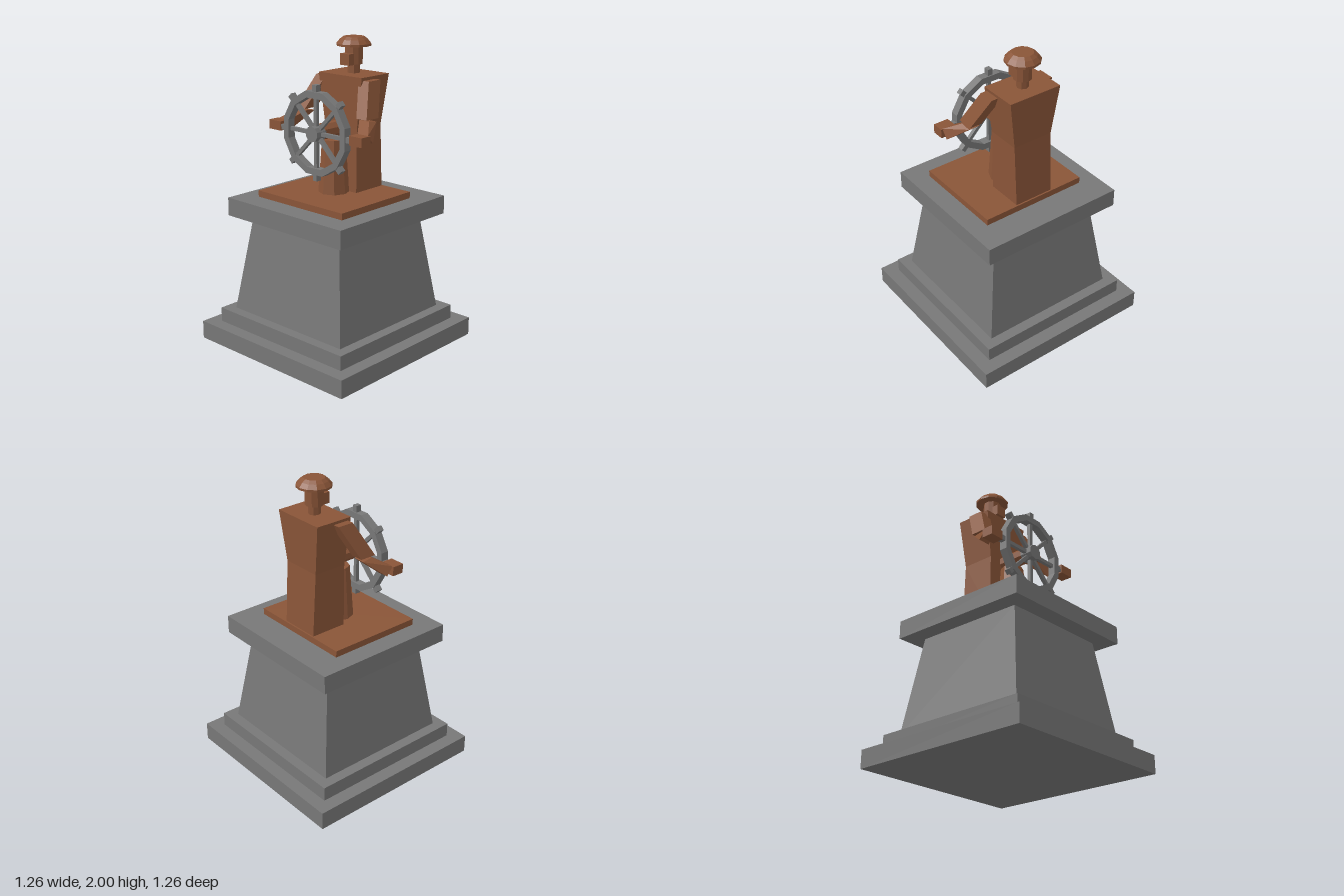
import * as THREE from 'three';
import { ConvexGeometry } from 'three/addons/geometries/ConvexGeometry.js';

const stone = new THREE.MeshStandardMaterial({ color: 0x777777 });
stone.name = 'grey stone';
const bronze = new THREE.MeshStandardMaterial({ color: 0x8a5538 });
bronze.name = 'brown bronze';

// Give every face its own normal for a faceted look
function faceted(geometry) {
  const g = geometry.index ? geometry.toNonIndexed() : geometry;
  g.computeVertexNormals();
  return g;
}

function add(parent, name, geometry, material, x = 0, y = 0, z = 0) {
  const mesh = new THREE.Mesh(faceted(geometry), material);
  mesh.name = name;
  mesh.position.set(x, y, z);
  parent.add(mesh);
  return mesh;
}

// Box given by its lower and upper limits
function block(parent, name, material, [x0, x1], [y0, y1], [z0, z1]) {
  return add(parent, name, new THREE.BoxGeometry(x1 - x0, y1 - y0, z1 - z0), material,
    (x0 + x1) / 2, (y0 + y1) / 2, (z0 + z1) / 2);
}

// Horizontal rectangle of corners at height y
function rect(y, x0, x1, z0, z1) {
  return [[x0, y, z0], [x1, y, z0], [x1, y, z1], [x0, y, z1]];
}

// Solid joining two end sections
function loft(parent, name, material, a, b) {
  const points = [...a, ...b].map((p) => new THREE.Vector3(...p));
  return add(parent, name, new ConvexGeometry(points), material);
}

function polygon(path, radius, sides) {
  const points = [];
  for (let i = 0; i < sides; i++) {
    const t = ((i + 0.5) / sides) * Math.PI * 2;
    points.push(new THREE.Vector2(radius * Math.cos(t), radius * Math.sin(t)));
  }
  return path.setFromPoints(points);
}

function makePedestal() {
  const g = new THREE.Group();
  g.name = 'pedestal';
  const step = (name, h, y0, y1) => block(g, name, stone, [-h, h], [y0, y1], [-h, h]);
  step('bottomStep', 0.632, 0, 0.12);
  step('upperStep', 0.543, 0.12, 0.215);
  loft(g, 'taperedShaft', stone,
    rect(0.215, -0.473, 0.473, -0.473, 0.473), rect(0.86, -0.38, 0.38, -0.38, 0.38));
  step('cap', 0.495, 0.86, 0.98);
  return g;
}

function makeArm(side) {
  const g = new THREE.Group();
  g.name = side > 0 ? 'leftArm' : 'rightArm';
  const flip = (points) => points.map(([x, y, z]) => [x * side, y, z]);
  loft(g, 'upperArm', bronze,
    flip(rect(1.75, 0.14, 0.225, -0.16, -0.05)),
    flip(rect(1.535, 0.222, 0.306, -0.05, 0.06)));
  loft(g, 'forearm', bronze,
    flip([[0.225, 1.525, 0.035], [0.305, 1.525, 0.035], [0.305, 1.515, -0.035], [0.225, 1.515, -0.035]]),
    flip([[0.3, 1.465, 0.135], [0.385, 1.465, 0.135], [0.385, 1.41, 0.09], [0.3, 1.41, 0.09]]));
  const hand = block(g, 'hand', bronze, [0.297, 0.398], [1.405, 1.465], [0.128, 0.208]);
  hand.position.x *= side;
  return g;
}

function makeFigure() {
  const g = new THREE.Group();
  g.name = 'helmsman';
  const waist = rect(1.44, -0.138, 0.138, -0.267, -0.04);
  loft(g, 'coatSkirt', bronze, rect(1.02, -0.135, 0.135, -0.288, -0.04), waist);
  loft(g, 'torso', bronze, waist, rect(1.77, -0.184, 0.184, -0.288, -0.03));
  g.add(makeArm(1), makeArm(-1));

  // Neck, head, face and brimmed hat share one axis
  const z = -0.16;
  add(g, 'neck', new THREE.CylinderGeometry(0.039, 0.039, 0.07, 8), bronze, 0, 1.8, z);
  add(g, 'head', new THREE.CylinderGeometry(0.058, 0.058, 0.12, 10), bronze, 0, 1.887, z);
  block(g, 'face', bronze, [-0.038, 0.038], [1.825, 1.897], [-0.13, -0.072]);
  const profile = [[0, 1.943], [0.112, 1.943], [0.112, 1.957], [0.09, 1.983], [0.067, 2], [0, 2]];
  add(g, 'hat', new THREE.LatheGeometry(profile.map((p) => new THREE.Vector2(...p)), 12), bronze, 0, 0, z);
  return g;
}

function makeWheel() {
  const g = new THREE.Group();
  g.name = 'steeringWheel';
  g.position.set(0, 1.43, 0.182);

  // Rim
  const shape = polygon(new THREE.Shape(), 0.272, 12);
  shape.holes.push(polygon(new THREE.Path(), 0.229, 12));
  const rim = new THREE.ExtrudeGeometry(shape, { depth: 0.054, bevelEnabled: false });
  add(g, 'rim', rim, stone, 0, 0, -0.027);

  // Hub
  const hub = new THREE.CylinderGeometry(0.051, 0.051, 0.085, 10);
  hub.rotateX(Math.PI / 2);
  add(g, 'hub', hub, stone, 0, 0, 0.003);

  // Spokes and the handles beyond the rim
  for (let i = 0; i < 8; i++) {
    const spoke = new THREE.Group();
    spoke.name = 'spokeAndHandle';
    spoke.rotation.z = (i * Math.PI) / 4;
    block(spoke, 'spoke', stone, [-0.012, 0.012], [0.03, 0.24], [-0.012, 0.012]);
    block(spoke, 'handle', stone, [-0.017, 0.017], [0.225, 0.305], [-0.019, 0.019]);
    g.add(spoke);
  }
  return g;
}

function makeStand() {
  const g = new THREE.Group();
  g.name = 'wheelStand';
  block(g, 'footPlate', bronze, [-0.367, 0.367], [0.98, 1.022], [-0.298, 0.345]);
  add(g, 'post', new THREE.CylinderGeometry(0.075, 0.1, 0.35, 8), bronze, 0, 1.195, 0.026);
  const axle = new THREE.CylinderGeometry(0.052, 0.052, 0.21, 8);
  axle.rotateY(Math.PI / 8);
  axle.rotateX(Math.PI / 2);
  add(g, 'axle', axle, bronze, 0, 1.434, 0.045);
  return g;
}

export function createModel() {
  const model = new THREE.Group();
  model.name = 'helmsmanMonument';
  model.add(makePedestal(), makeStand(), makeFigure(), makeWheel());
  return model;
}
